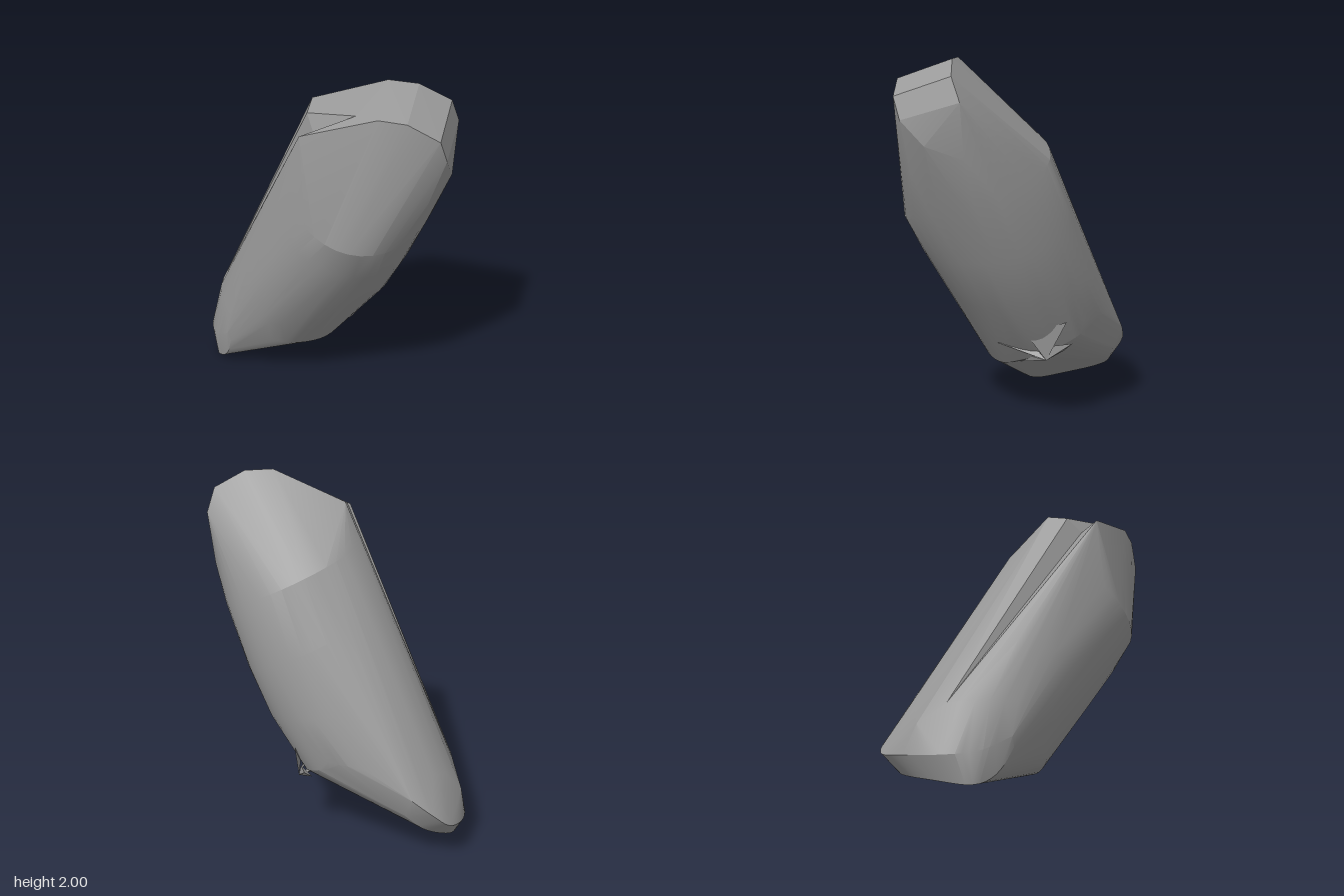
import * as THREE from 'three';
import { ConvexGeometry } from 'three/addons/geometries/ConvexGeometry.js';
import { toCreasedNormals } from 'three/addons/utils/BufferGeometryUtils.js';

const V = (p) => new THREE.Vector3(...p);
const key = (p) => [p.x, p.y, p.z].map((n) => n.toFixed(3)).join();

// Oval ring through its right, left, front and back points; a gap leaves the left edge straight
function ring(r, l, f, b, gap = true, steps = 40) {
  const [R, L, F, B] = [r, l, f, b].map(V);
  const c = R.clone().add(L).multiplyScalar(0.5);
  const u = R.clone().sub(c);
  const pts = [];
  for (let i = 0; i < steps; i++) {
    const a = (i / steps) * Math.PI * 2;
    if (gap && a > Math.PI - 0.5 && a < Math.PI + 0.05) continue;
    const side = (Math.sin(a) > 0 ? F : B).clone().sub(c);
    pts.push(c.clone().addScaledVector(u, Math.cos(a)).addScaledVector(side, Math.abs(Math.sin(a))));
  }
  return pts;
}

const curve = (pts, n) => new THREE.CatmullRomCurve3(pts.map(V), false, 'centripetal').getSpacedPoints(n);

function meshFrom(name, geometry, material) {
  const mesh = new THREE.Mesh(geometry, material);
  mesh.name = name;
  return mesh;
}

function trianglesToGeometry(corners) {
  const g = new THREE.BufferGeometry().setFromPoints(corners);
  g.computeVertexNormals();
  return g;
}

export function createModel() {
  const group = new THREE.Group();
  group.name = 'carvedStone';
  const stone = new THREE.MeshStandardMaterial({ color: 0x999999, side: THREE.DoubleSide });
  stone.name = 'stoneGrey';

  // Front and back ridges of the chiselled top
  const front = [[0.09, 1.75, 0.42], [0.5, 1.9, 0.36], [0.64, 1.89, 0.32], [0.79, 1.8, 0.25], [0.81, 1.68, 0.2]].map(V);
  const back = [[0.01, 1.84, 0.13], [0.42, 2.0, 0.08], [0.57, 1.99, 0.03], [0.72, 1.9, -0.05], [0.74, 1.77, -0.11]].map(V);

  const points = [
    // Leaning body: oval rings from the foot up to the shoulders
    ...ring([0.18, 0.47, -0.15], [-0.72, 0.45, -0.15], [-0.25, 0.47, 0.325], [-0.26, 0.55, -0.48], false),
    ...ring([0.35, 0.65, -0.12], [-0.5, 0.87, -0.04], [-0.05, 0.75, 0.385], [-0.1, 0.8, -0.46]),
    ...ring([0.5, 0.92, -0.05], [-0.27, 1.31, 0.03], [0.15, 1.05, 0.45], [0.1, 1.1, -0.425]),
    ...ring([0.66, 1.26, 0], [-0.1, 1.63, 0.1], [0.27, 1.2, 0.48], [0.25, 1.43, -0.36]),
    // Lower edge where the slanted underside meets the body
    ...curve([[-0.36, 0.36, 0.295], [-0.24, 0.32, 0.26], [-0.1, 0.285, 0.19], [0.03, 0.27, 0.03],
      [0.08, 0.31, -0.12], [0.09, 0.37, -0.27], [-0.02, 0.45, -0.41], [-0.24, 0.55, -0.48]], 30),
    // Rounded toe
    ...curve([[-0.48, 0.22, 0.265], [-0.53, 0.1, 0.225], [-0.59, 0.03, 0.185], [-0.66, 0, 0.14],
      [-0.74, 0.04, -0.04], [-0.74, 0.1, -0.22], [-0.64, 0.18, -0.355], [-0.55, 0.28, -0.42]], 30),
    ...curve([[-0.5, 0.27, 0.27], [-0.65, 0.17, 0.175], [-0.76, 0.15, 0.03], [-0.81, 0.18, -0.18],
      [-0.78, 0.23, -0.35], [-0.71, 0.31, -0.42], [-0.6, 0.4, -0.46]], 30),
    // Straight left edge and upper right flank
    ...[[-0.78, 0.34, -0.12], [0.79, 1.55, 0.07], [0.72, 1.42, 0.2], [0.7, 1.48, -0.11]].map(V),
    ...front, ...back,
  ];

  // Chip sunk into the left end of the top, running down the left edge as a groove
  const [f0, f1] = front;
  const [k0, k1] = back;
  const lip = k0.clone().lerp(f0, 0.4);
  const tip = V([0.36, 1.88, 0.32]);
  const pit = V([0.11, 1.72, 0.3]);
  const top = [k0, lip, tip, k0, tip, k1, tip, f1, k1, f0, f1, tip, lip, pit, tip, pit, f0, tip];

  // Bevelled top between the ridges
  for (let i = 1; i < front.length - 1; i++) {
    top.push(back[i], front[i], front[i + 1], back[i], front[i + 1], back[i + 1]);
  }

  // Hull faces spanning both ridges give way to the top; the one at the left end is grooved
  const hull = new ConvexGeometry(points).getAttribute('position');
  const frontKeys = new Set(front.map(key));
  const backKeys = new Set(back.map(key));
  const kept = [];
  for (let i = 0; i < hull.count; i += 3) {
    const tri = [0, 1, 2].map((k) => new THREE.Vector3().fromBufferAttribute(hull, i + k));
    const keys = tri.map(key);
    const nFront = keys.filter((k) => frontKeys.has(k)).length;
    const nBack = keys.filter((k) => backKeys.has(k)).length;
    if (nFront && nBack && nFront + nBack === 3) continue;
    if (keys.includes(key(f0)) && keys.includes(key(k0))) {
      const end = tri.find((p) => key(p) !== key(f0) && key(p) !== key(k0));
      top.push(k0, end, lip, lip, end, pit, pit, end, f0);
      continue;
    }
    kept.push(...tri);
  }
  group.add(meshFrom('body', toCreasedNormals(trianglesToGeometry(kept), 0.34), stone));
  group.add(meshFrom('chippedTop', trianglesToGeometry(top), stone));

  // Small folded spur at the lower right
  const apex = [0.125, 0.34, -0.3];
  const folds = [
    [[0.19, 0.5, -0.2], [0.1, 0.56, -0.41], [0.1, 0.45, -0.33]],
    [[0.17, 0.42, -0.02], [0.15, 0.4, -0.12], [0.1, 0.42, -0.2]],
    [[0.04, 0.43, -0.42], [0.1, 0.42, -0.33], [0.02, 0.38, -0.36]],
    [[0.03, 0.28, -0.02], [0.09, 0.35, -0.15], [0.02, 0.36, -0.2]],
  ];
  folds.forEach((f, i) => {
    group.add(meshFrom('spurFold' + (i + 1), new ConvexGeometry([apex, ...f].map(V)), stone));
  });

  return group;
}
